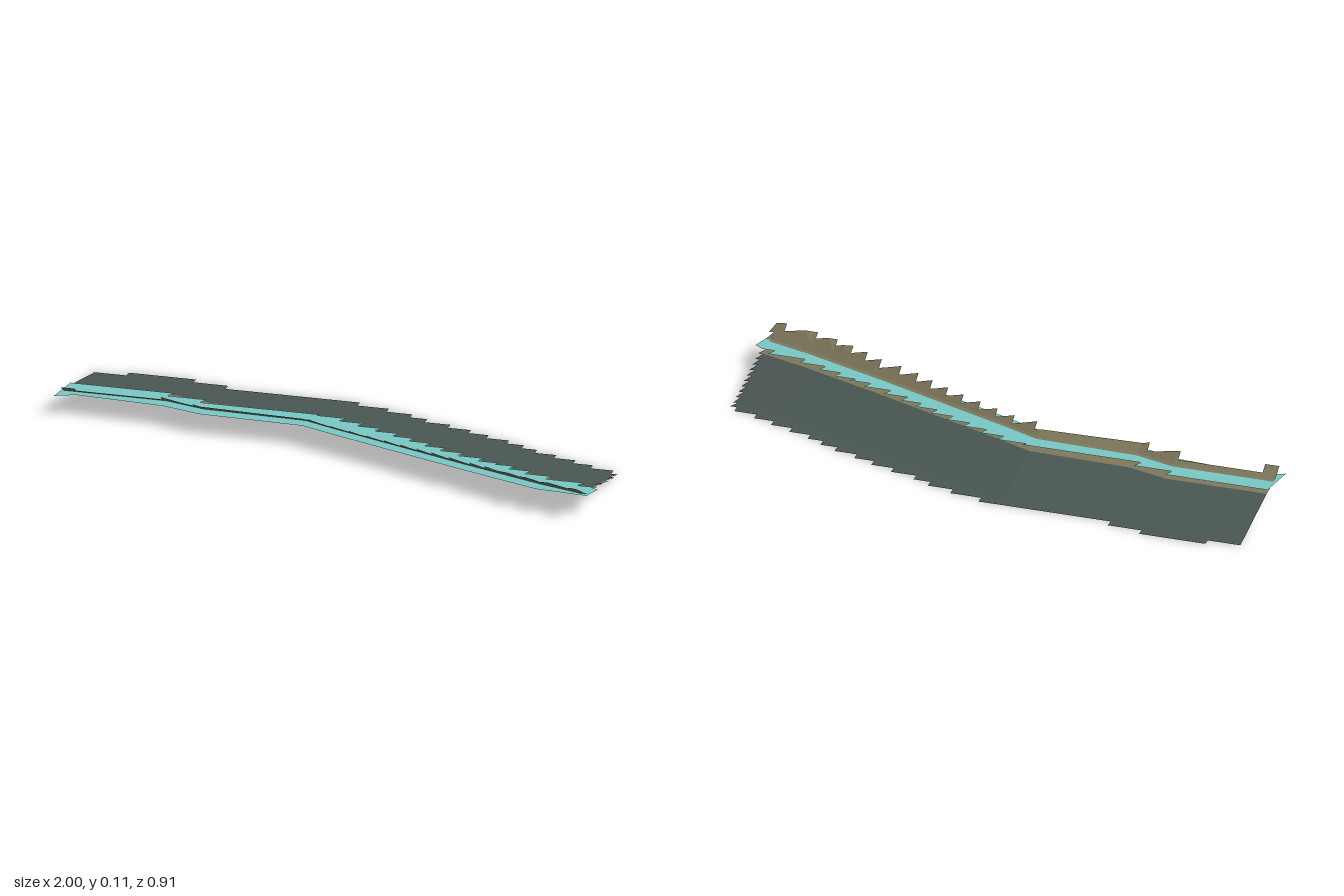
import * as THREE from 'three';

// piecewise-linear lookup through [input, output] points
function lerpTable(pts, t) {
  if (t <= pts[0][0]) return pts[0][1];
  for (let i = 1; i < pts.length; i++) {
    const [a, va] = pts[i - 1], [b, vb] = pts[i];
    if (t <= b) return va + (vb - va) * (t - a) / (b - a);
  }
  return pts[pts.length - 1][1];
}
// value of the last step that starts at or before x
const stepAt = (steps, x) => steps.reduce((v, s) => (x >= s[0] ? s[1] : v), steps[0][1]);

// course of the waterline, z over x
const SHORE = [[-0.98, -0.06], [-0.62, -0.06], [-0.48, -0.02], [-0.12, -0.01],
  [0, 0.04], [0.5, 0.235], [0.8, 0.345], [0.98, 0.4]];
// ground height over distance in front of the waterline
const PROFILE = [[-0.36, 0], [-0.09, 0.06], [0, 0.072], [0.03, 0.09], [0.06, 0.11]];

// stepped edges: start x and z of each step
const FRONT = [[-0.98, -0.015], [-0.93, -0.044], [-0.63, -0.015], [-0.51, 0.015]];
[-0.1, -0.01, 0.06, 0.13, 0.2, 0.265, 0.33, 0.39, 0.46, 0.54, 0.6, 0.66, 0.725, 0.805, 0.925]
  .forEach((x, i) => FRONT.push([x, 0.015 + 0.029 * (i + 1)]));
const BACK = [[-0.98, -0.43], [-0.865, -0.457], [-0.63, -0.43], [-0.51, -0.4]];
[-0.04, 0.07, 0.16, 0.22, 0.31, 0.39, 0.46, 0.54, 0.6, 0.655, 0.73, 0.805, 0.875, 0.955]
  .forEach((x, i) => BACK.push([x, -0.4 + 0.0292 * (i + 1)]));

const X_START = -0.98, X_END = 0.962, X_TIP = 0.98, WATER_Y = 0.07;
const shore = (x) => lerpTable(SHORE, x);
const ground = (x, z) => [x, lerpTable(PROFILE, z - shore(x)), z];

function meshFrom(name, positions, material) {
  const g = new THREE.BufferGeometry();
  g.setAttribute('position', new THREE.Float32BufferAttribute(positions, 3));
  g.computeVertexNormals();
  const m = new THREE.Mesh(g, material);
  m.name = name;
  return m;
}

// sloping ground between two distances from the waterline, cut by the stepped edges
function groundBand(name, levels, material) {
  const pos = [];
  const xs = [X_START, X_END];
  for (const table of [FRONT, BACK, SHORE])
    for (const [x] of table) if (x > X_START && x < X_END) xs.push(x);
  for (let x = X_START + 0.03; x < X_END; x += 0.03) xs.push(x);
  xs.sort((a, b) => a - b);

  for (let i = 1; i < xs.length; i++) {
    const x0 = xs[i - 1], x1 = xs[i];
    if (x1 - x0 < 1e-5) continue;
    const mid = (x0 + x1) / 2;
    const zb = stepAt(BACK, mid), zf = stepAt(FRONT, mid);
    const at = (x, d) => ground(x, THREE.MathUtils.clamp(shore(x) + d, zb, zf));
    for (let k = 1; k < levels.length; k++) {
      const a = at(x0, levels[k - 1]), b = at(x0, levels[k]);
      const c = at(x1, levels[k]), d = at(x1, levels[k - 1]);
      if (b[2] - a[2] > 1e-6 || c[2] - d[2] > 1e-6) pos.push(...a, ...b, ...c, ...a, ...c, ...d);
    }
  }

  // saw teeth along the right-hand end
  const lo = levels[0], hi = levels[levels.length - 1];
  for (let z = 0.01; z < 0.43; z += 0.0293) {
    const d = z + 0.015 - shore(X_END);
    if (d < lo || d >= hi) continue;
    pos.push(...ground(X_END, z), ...ground(X_END, z + 0.0293), ...ground(X_TIP, z));
  }
  return meshFrom(name, pos, material);
}

// level water strip with a stepped rear edge and pointed ends
function waterStrip(material) {
  const outline = [];
  const rear = (x) => stepAt(FRONT, x) - (x < -0.1 ? 0.096 : x < 0.6 ? 0.115 : 0.13);
  outline.push([-0.98, -0.14]);
  for (let i = 2; i < FRONT.length; i++) {
    const x = FRONT[i][0];
    outline.push([x + 0.015, rear(x - 0.01)], [x, rear(x + 0.01)]);
  }
  outline.push([0.97, 0.32], [1, 0.34], [0.98, 0.405]);
  for (let i = SHORE.length - 2; i > 0; i--) outline.push([SHORE[i][0], SHORE[i][1] + 0.045]);
  outline.push([-0.93, -0.035], [-1, -0.005]);

  const shape = new THREE.Shape(outline.map(([x, z]) => new THREE.Vector2(x, -z)));
  const g = new THREE.ShapeGeometry(shape);
  g.rotateX(-Math.PI / 2);
  g.translate(0, WATER_Y, 0);
  const m = new THREE.Mesh(g, material);
  m.name = 'water';
  return m;
}

export function createModel() {
  const mat = (name, color) => {
    const m = new THREE.MeshStandardMaterial({ color, side: THREE.DoubleSide });
    m.name = name;
    return m;
  };
  const slate = mat('slate', 0x4a5753);
  const sand = mat('sand', 0x7f785c);
  const aqua = mat('aqua', 0x78c8c6);

  const group = new THREE.Group();
  group.name = 'riverbank';
  group.add(
    groundBand('slope', [-0.6, -0.36, -0.09], slate),
    groundBand('bank', [-0.09, 0, 0.03, 0.15], sand),
    waterStrip(aqua),
  );
  return group;
}
